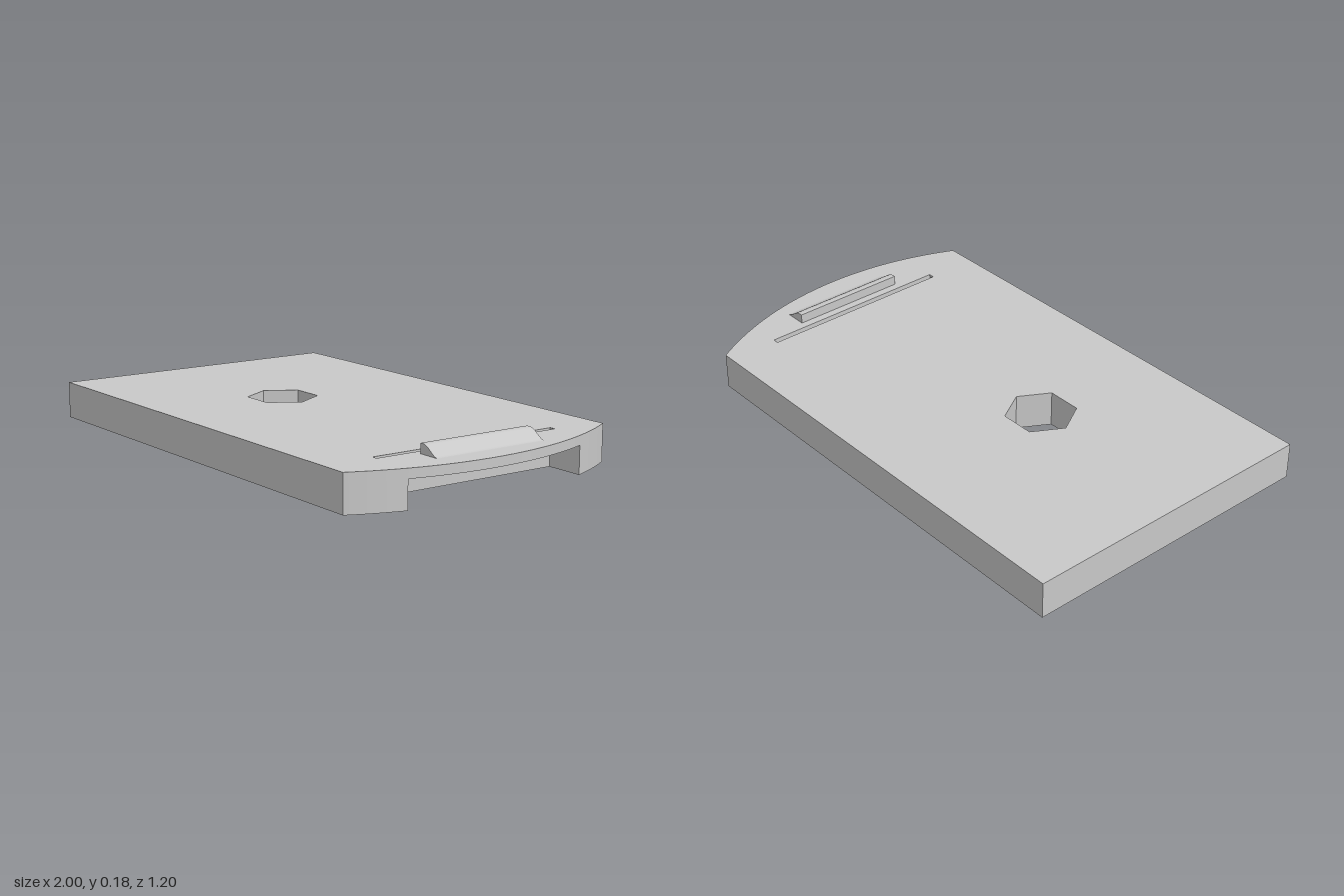
import * as THREE from 'three';

const CX = -0.265, CZ = 0.06, R = 1.265;   // centre of the rounded end and hex hole
const HALF = 0.598, NOTCH = 0.393, WALL = 0.762;
const SPLIT = 0.106, TOP = 0.142;

// angle on the rounded end at a given shape height (shape y is -z)
const angleAt = (y) => Math.asin((y + CZ) / R);

function hexHole() {
  const pts = [];
  for (let i = 0; i < 6; i++) {
    const a = (i * Math.PI) / 3;
    pts.push(new THREE.Vector2(CX + 0.135 * Math.cos(a), -CZ + 0.135 * Math.sin(a)));
  }
  return new THREE.Path(pts);
}

function rectHole(x0, x1, h) {
  return new THREE.Path([[x0, -h], [x1, -h], [x1, h], [x0, h]].map(([x, y]) => new THREE.Vector2(x, y)));
}

// plate outline, with or without the latch recess cut into the rounded end
function outline(notched) {
  const s = new THREE.Shape();
  s.moveTo(-1, HALF);
  s.lineTo(-1, -HALF);
  if (notched) {
    s.absarc(CX, -CZ, R, angleAt(-HALF), angleAt(-NOTCH), false);
    s.lineTo(WALL, -NOTCH);
    s.lineTo(WALL, NOTCH);
    s.absarc(CX, -CZ, R, angleAt(NOTCH), angleAt(HALF), false);
  } else {
    s.absarc(CX, -CZ, R, angleAt(-HALF), angleAt(HALF), false);
  }
  s.closePath();
  s.holes.push(hexHole());
  return s;
}

// extrude a plan shape upward between two heights
function slab(shape, y0, y1) {
  const g = new THREE.ExtrudeGeometry(shape, { depth: y1 - y0, bevelEnabled: false, curveSegments: 40 });
  g.rotateX(-Math.PI / 2);
  g.translate(0, y0, 0);
  return g;
}

export function createModel() {
  const group = new THREE.Group();
  const grey = new THREE.MeshStandardMaterial({ color: 0xc8c8c8 });
  grey.name = 'grey plastic';
  const add = (name, geometry) => {
    const m = new THREE.Mesh(geometry, grey);
    m.name = name;
    group.add(m);
  };

  // lower body with the recess and two blind pin holes
  const lower = outline(true);
  for (const x of [0.37, -0.795]) {
    lower.holes.push(new THREE.Path().absarc(x, 0, 0.03, 0, Math.PI * 2, true));
  }
  add('lowerPlate', slab(lower, 0, SPLIT));

  // top skin with the narrow flex slot
  const upper = outline(false);
  upper.holes.push(rectHole(WALL, 0.785, NOTCH));
  add('topPlate', slab(upper, SPLIT, TOP));

  // catch on the lip, its ramp flowing smoothly into the top skin
  const wedge = new THREE.Shape();
  wedge.moveTo(0.908, TOP);
  wedge.bezierCurveTo(0.882, TOP, 0.858, 0.179, 0.83, 0.179);
  wedge.lineTo(0.817, 0.179);
  wedge.lineTo(0.817, TOP);
  wedge.closePath();
  const catchGeo = new THREE.ExtrudeGeometry(wedge, { depth: 0.47, bevelEnabled: false, curveSegments: 12 });
  catchGeo.translate(0, 0, -0.235);
  add('latchCatch', catchGeo);

  return group;
}
